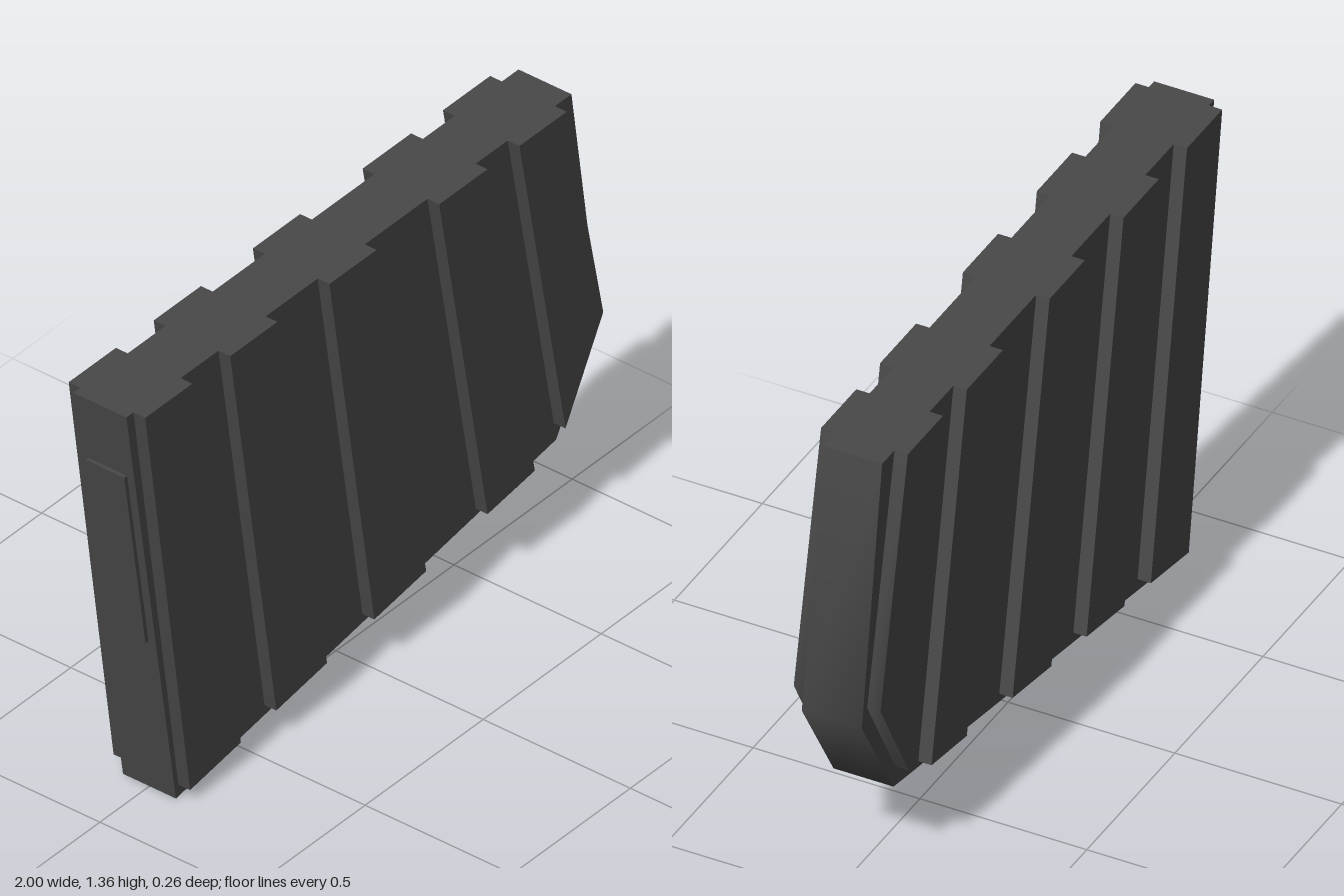
import * as THREE from 'three';
import { toCreasedNormals } from 'three/addons/utils/BufferGeometryUtils.js';

const darkGrey = new THREE.MeshStandardMaterial({ color: 0x484848 });
darkGrey.name = 'darkGrey';

// Flat slab with the given outline, from depth z0 to z1
function slab(name, outline, z0, z1) {
  const shape = new THREE.Shape(outline.map(([x, y]) => new THREE.Vector2(x, y)));
  const geometry = new THREE.ExtrudeGeometry(shape, { depth: z1 - z0, bevelEnabled: false });
  geometry.translate(0, 0, z0);
  const mesh = new THREE.Mesh(toCreasedNormals(geometry, Math.PI / 3.2), darkGrey);
  mesh.name = name;
  return mesh;
}

export function createModel() {
  const model = new THREE.Group();
  model.name = 'ribbedCase';
  const top = 1.36, core = 0.09, outer = 0.13;

  // Main slanted body with a cut lower corner
  model.add(slab('body',
    [[-1, top], [-0.79, 0], [0.82, 0.27], [1, 0.57], [0.885, top]], -core, core));

  // Slanted ribs: top left, bottom left, bottom right, top right
  const ribs = [
    [[-0.97, top], [-0.78, 0.04], [-0.565, 0.075], [-0.77, top]],
    [[-0.61, top], [-0.415, 0.095], [-0.2, 0.13], [-0.41, top]],
    [[-0.19, top], [0, 0.16], [0.22, 0.195], [0.01, top]],
    [[0.275, top], [0.48, 0.235], [0.68, 0.265], [0.48, top]],
    [[0.615, top], [0.81, 0.33], [0.97, 0.62], [0.815, top]],
  ];
  ribs.forEach((outline, i) => {
    model.add(slab(`frontRib${i + 1}`, outline, core, outer));
    model.add(slab(`backRib${i + 1}`, outline, -outer, -core));
  });

  // Raised plate on the narrow right edge
  model.add(slab('edgePlate',
    [[-0.978, 1.14], [-0.888, 0.55], [-0.86, 0.55], [-0.95, 1.14]], -0.065, 0.065));

  return model;
}
